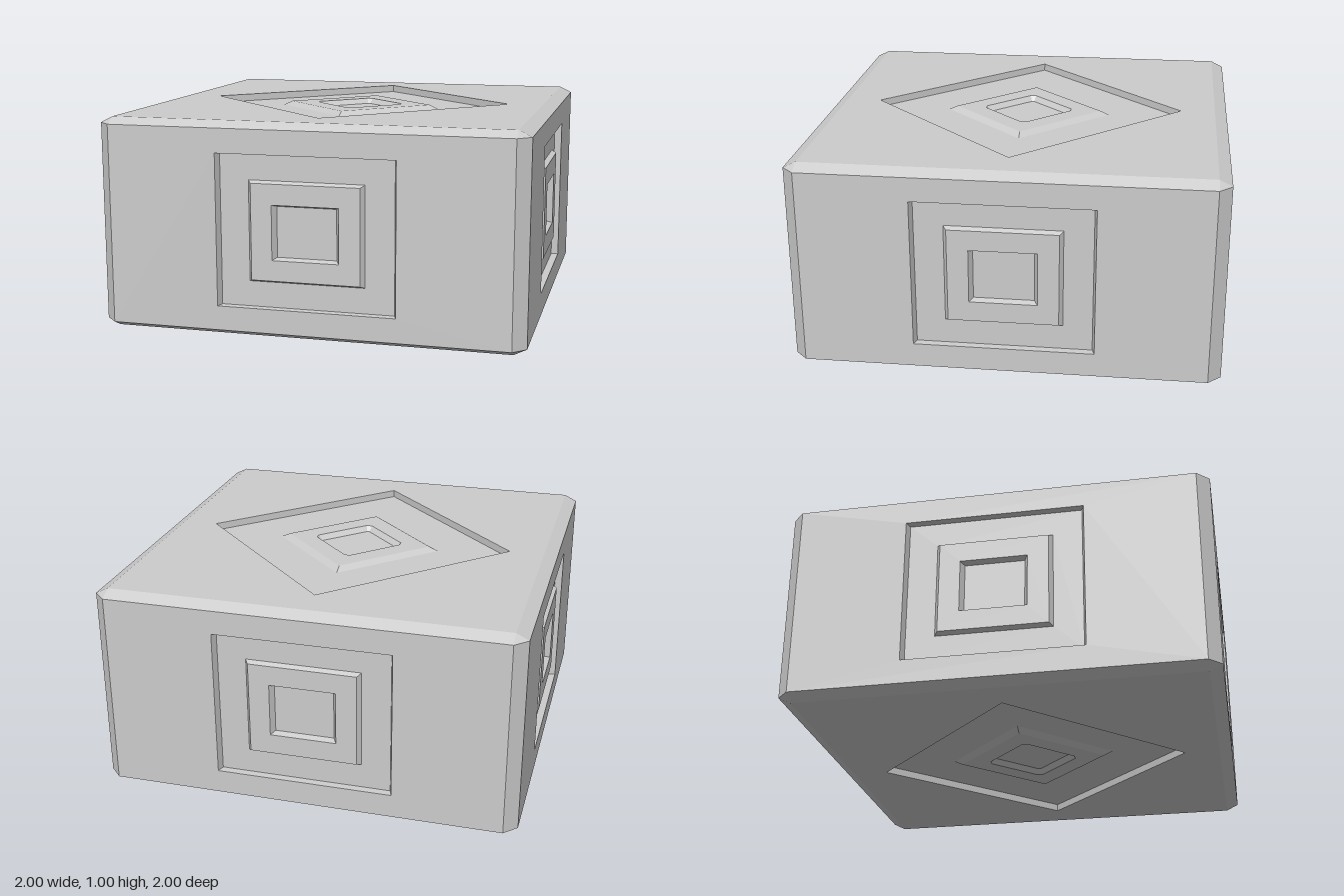
import * as THREE from 'three';
import { mergeGeometries } from 'three/addons/utils/BufferGeometryUtils.js';

const material = new THREE.MeshStandardMaterial({ color: 0xcccccc, flatShading: true });
const BEVEL = 0.06, BEVEL_Y = 0.03;

function soup(positions) {
  const g = new THREE.BufferGeometry();
  g.setAttribute('position', new THREE.Float32BufferAttribute(positions, 3));
  g.computeVertexNormals();
  return g;
}

const rect = (w, h) => [[-w, -h], [w, -h], [w, h], [-w, h]];
const diamond = (r) => [[0, -r], [r, 0], [0, r], [-r, 0]];
// diamond with slightly blunted corners
const bluntDiamond = (r, c) => [
  [-c, c - r], [c, c - r], [r - c, -c], [r - c, c],
  [c, r - c], [-c, r - c], [c - r, c], [c - r, -c],
];

// flat area facing +z, with an optional hole
function flat(outer, z, hole) {
  const toPoints = (pts) => pts.map(([x, y]) => new THREE.Vector2(x, y));
  const shape = new THREE.Shape(toPoints(outer));
  if (hole) shape.holes.push(new THREE.Path(toPoints(hole)));
  const g = new THREE.ShapeGeometry(shape).toNonIndexed();
  g.deleteAttribute('uv');
  return g.translate(0, 0, z);
}

// wall joining two outlines with equal point counts
function wall(a, za, b, zb) {
  const p = [];
  a.forEach((_, i) => {
    const j = (i + 1) % a.length;
    p.push(...a[i], za, ...a[j], za, ...b[j], zb);
    p.push(...a[i], za, ...b[j], zb, ...b[i], zb);
  });
  return soup(p);
}

// stepped panel: outlines ordered from the rim to the innermost floor
function panelGeometry(rings) {
  const parts = [];
  for (let i = 0; i < rings.length - 1; i++) {
    const [a, za] = rings[i], [b, zb] = rings[i + 1];
    parts.push(za === zb ? flat(a, za, b) : wall(a, za, b, zb));
  }
  const [last, z] = rings[rings.length - 1];
  parts.push(flat(last, z));
  return mergeGeometries(parts);
}

// bevelled edges and triangular corners of the block
function bevelGeometry() {
  const half = [1, 0.5, 1], cut = [BEVEL, BEVEL_Y, BEVEL];
  // corner point lying on the face of the given axis
  const corner = (s, axis) => new THREE.Vector3(
    ...s.map((v, k) => v * (half[k] - (k === axis ? 0 : cut[k]))));
  const p = [];
  const tri = (a, b, c) => {
    const n = b.clone().sub(a).cross(c.clone().sub(a));
    const order = n.dot(a) > 0 ? [a, b, c] : [a, c, b];
    order.forEach((v) => p.push(v.x, v.y, v.z));
  };
  for (const sx of [-1, 1]) for (const sy of [-1, 1]) for (const sz of [-1, 1]) {
    const s = [sx, sy, sz];
    tri(corner(s, 0), corner(s, 1), corner(s, 2));
    for (let k = 0; k < 3; k++) {
      if (s[k] < 0) continue;
      const t = s.slice();
      t[k] = -1;
      const u = (k + 1) % 3, v = (k + 2) % 3;
      tri(corner(s, u), corner(s, v), corner(t, v));
      tri(corner(s, u), corner(t, v), corner(t, u));
    }
  }
  return soup(p);
}

export function createModel() {
  const model = new THREE.Group();
  const block = new THREE.Group();
  block.position.y = 0.5;
  model.add(block);

  const add = (name, geometry) => {
    const mesh = new THREE.Mesh(geometry, material);
    mesh.name = name;
    block.add(mesh);
    return mesh;
  };

  add('bevelledEdges', bevelGeometry());

  // four sides: recess, raised frame, inner recess
  const side = panelGeometry([
    [rect(1 - BEVEL, 0.5 - BEVEL_Y), 1],
    [rect(0.42, 0.356), 1],
    [rect(0.408, 0.354), 0.965],
    [rect(0.272, 0.235), 0.965],
    [rect(0.255, 0.224), 0.99],
    [rect(0.157, 0.128), 0.99],
    [rect(0.14, 0.118), 0.96],
  ]);
  ['frontPanel', 'leftPanel', 'backPanel', 'rightPanel'].forEach((name, i) => {
    add(name, side).rotation.y = i * Math.PI / 2;
  });

  // top and bottom: the same steps as diamonds
  const cap = panelGeometry([
    [rect(1 - BEVEL, 1 - BEVEL), 0.5],
    [diamond(0.77), 0.5],
    [diamond(0.768), 0.465],
    [diamond(0.41), 0.465],
    [diamond(0.365), 0.485],
    [bluntDiamond(0.23, 0.014), 0.485],
    [bluntDiamond(0.2, 0.006), 0.46],
  ]);
  add('topPanel', cap).rotation.x = -Math.PI / 2;
  add('bottomPanel', cap).rotation.x = Math.PI / 2;

  return model;
}
